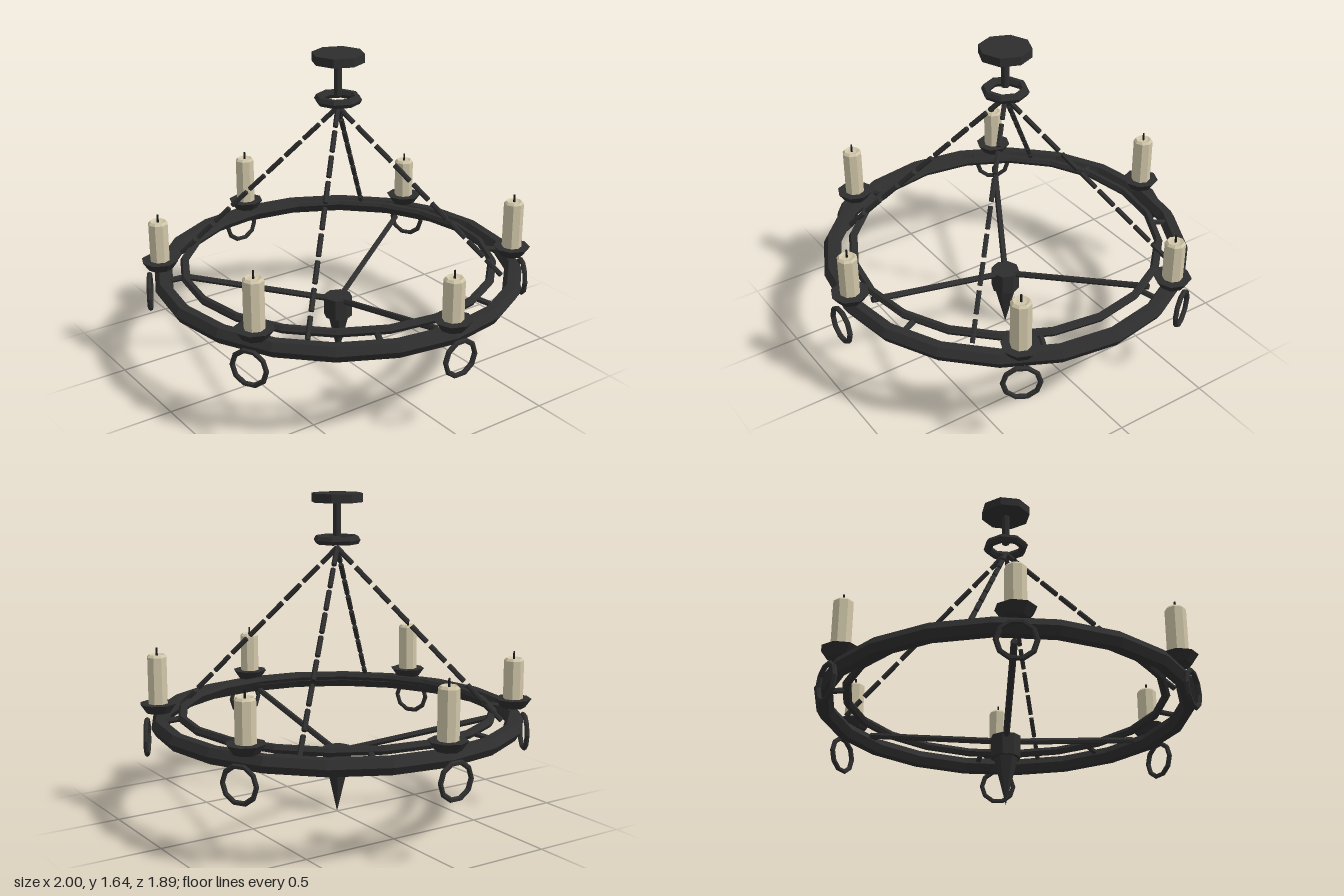
import * as THREE from 'three';

export function createModel() {
  const group = new THREE.Group();
  const flat = (name, color) => {
    const m = new THREE.MeshStandardMaterial({ color, flatShading: true });
    m.name = name;
    return m;
  };
  const iron = flat('wrought iron', 0x2e2e2e);
  const wax = flat('candle wax', 0xcfc5a8);
  const char = flat('charred wick', 0x1a1a1a);

  const add = (name, geometry, material, x = 0, y = 0, z = 0, parent = group) => {
    const mesh = new THREE.Mesh(geometry, material);
    mesh.name = name;
    mesh.position.set(x, y, z);
    parent.add(mesh);
    return mesh;
  };
  // horizontal ring with a six-sided section
  const hoop = (R, r, segments) => new THREE.TorusGeometry(R, r, 6, segments).rotateX(Math.PI / 2);
  const drum = (top, bottom, h, sides = 8) => new THREE.CylinderGeometry(top, bottom, h, sides);
  // straight bar between two points
  const bar = (name, a, b, r, parent = group) => {
    const dir = b.clone().sub(a);
    const mesh = add(name, drum(r, r, dir.length(), 6), iron, 0, 0, 0, parent);
    mesh.position.copy(a).add(b).multiplyScalar(0.5);
    mesh.quaternion.setFromUnitVectors(new THREE.Vector3(0, 1, 0), dir.normalize());
    return mesh;
  };
  const polar = (angle, r, y) => new THREE.Vector3(Math.cos(angle) * r, y, Math.sin(angle) * r);

  // ceiling mount
  add('ceilingPlate', drum(0.13, 0.13, 0.044), iron, 0, 1.618, 0);
  add('ceilingRod', drum(0.02, 0.02, 0.17), iron, 0, 1.515, 0);
  add('chainRing', hoop(0.096, 0.023, 8), iron, 0, 1.41, 0);

  // main double ring
  add('outerRing', hoop(0.9, 0.045, 20), iron, 0, 0.505, 0);
  add('innerRing', hoop(0.79, 0.022, 20), iron, 0, 0.545, 0);
  for (let i = 0; i < 8; i++) {
    const a = (i + 0.5) * Math.PI / 4;
    bar('ringSpacer', polar(a, 0.78, 0.535), polar(a, 0.89, 0.52), 0.015);
  }

  // lower hub, spike and three arms
  add('hub', drum(0.074, 0.074, 0.11), iron, 0, 0.29, 0);
  add('hubSpike', new THREE.ConeGeometry(0.06, 0.24, 6).rotateX(Math.PI), iron, 0, 0.12, 0);
  for (let i = 0; i < 3; i++) {
    const a = i * Math.PI * 2 / 3;
    bar('hubArm', polar(a, 0.02, 0.325), polar(a, 0.79, 0.49), 0.016);
  }

  // four chains of separate links
  const links = 9;
  for (let c = 0; c < 4; c++) {
    const a = (c + 0.5) * Math.PI / 2;
    const chain = new THREE.Group();
    chain.name = 'chain';
    const top = new THREE.Vector3(0, 1.37, 0), end = polar(a, 0.85, 0.51);
    for (let i = 0; i < links; i++) {
      bar('chainLink', top.clone().lerp(end, i / links), top.clone().lerp(end, (i + 0.82) / links), 0.013, chain);
    }
    group.add(chain);
  }

  // six candles, alternating in height, each with a hanging ring
  for (let i = 0; i < 6; i++) {
    const a = i * Math.PI / 3;
    const holder = new THREE.Group();
    holder.name = 'candleHolder';
    holder.position.copy(polar(a, 0.905, 0));
    group.add(holder);
    const top = i % 2 ? 0.84 : 0.8;
    add('dripDish', drum(0.095, 0.062, 0.047), iron, 0, 0.566, 0, holder);
    const profile = [[0, 0.58], [0.051, 0.58], [0.051, top - 0.012], [0.04, top], [0.026, top - 0.006], [0, top - 0.006]];
    add('candle', new THREE.LatheGeometry(profile.map(p => new THREE.Vector2(...p)), 8), wax, 0, 0, 0, holder);
    add('wick', drum(0.005, 0.006, 0.042, 5), char, 0, top + 0.013, 0, holder);

    const ring = add('hangingRing', new THREE.TorusGeometry(0.088, 0.013, 6, 10), iron);
    ring.position.copy(polar(a, 0.965, 0.413));
    ring.rotation.y = Math.PI / 2 - a;
  }
  return group;
}
